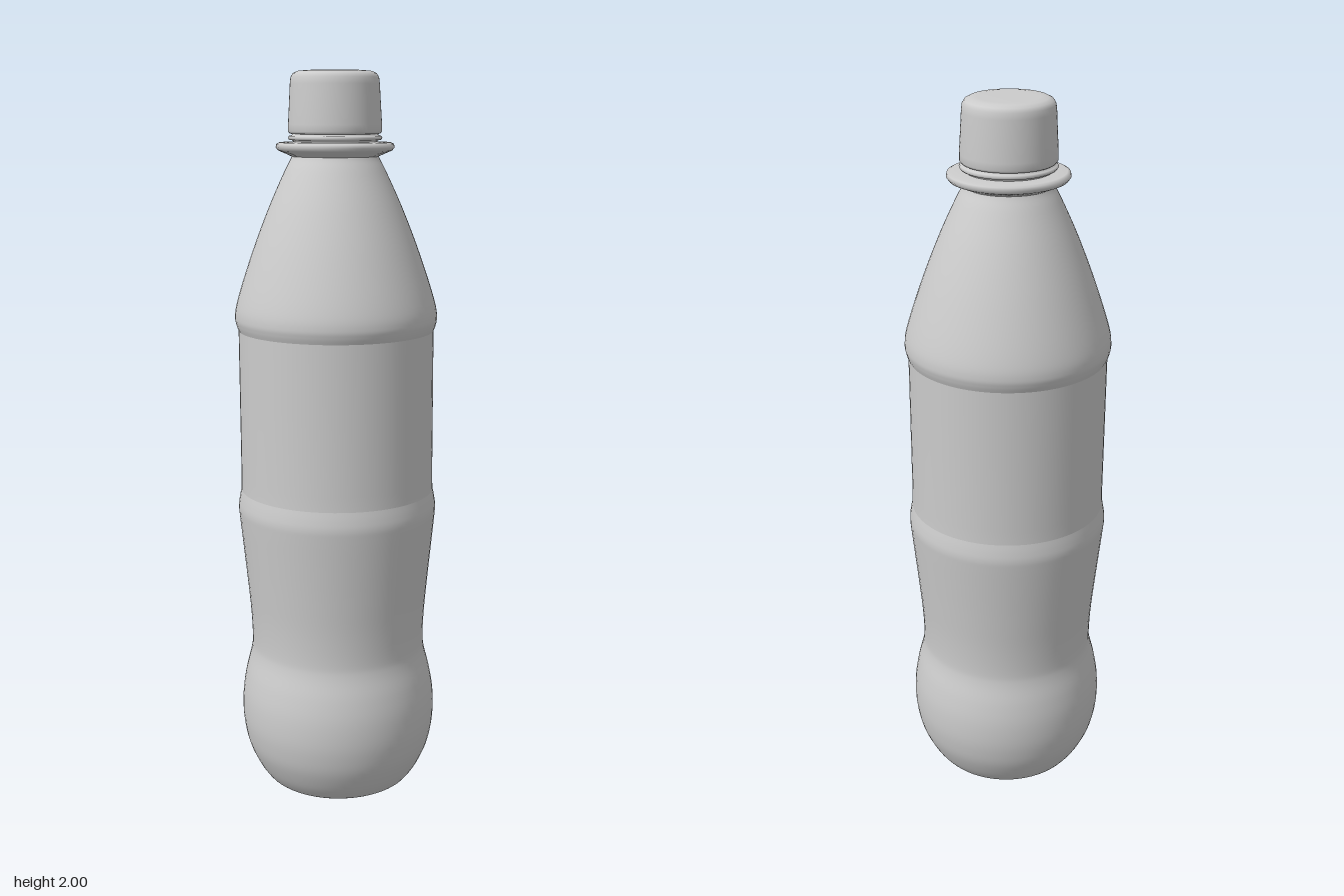
import * as THREE from 'three';

const SIDES = 64;
const material = new THREE.MeshStandardMaterial({ color: 0xcccccc, side: THREE.DoubleSide });

// Very slight lean of the whole bottle axis
const lean = new THREE.Matrix4().set(
  1, -0.009, 0, 0.004,
  0, 1, 0, 0,
  0, -0.016, 1, 0.013,
  0, 0, 0, 1
);

// Turned part from [radius, height] pairs, optionally smoothed through a spline
function turned(name, profile, smoothSteps = 0) {
  let points = profile.map(([r, y]) => new THREE.Vector2(r, y));
  if (smoothSteps) points = new THREE.SplineCurve(points).getPoints(smoothSteps);
  points.forEach((p) => { p.x = Math.max(p.x, 0); });
  const geometry = new THREE.LatheGeometry(points, SIDES);
  geometry.applyMatrix4(lean);
  const mesh = new THREE.Mesh(geometry, material);
  mesh.name = name;
  return mesh;
}

export function createModel() {
  const bottle = new THREE.Group();
  bottle.name = 'bottle';

  // Hollow underside with a small central nub
  bottle.add(turned('basePunt', [
    [0, 0.075], [0.014, 0.077], [0.022, 0.09], [0.05, 0.09], [0.09, 0.078],
    [0.13, 0.055], [0.165, 0.025], [0.185, 0.004], [0.198, 0.001],
  ], 40));

  // Rounded foot, pinched waist and the bead below the label
  bottle.add(turned('lowerBody', [
    [0.198, 0.001], [0.212, 0.012], [0.236, 0.047], [0.26, 0.1], [0.272, 0.15],
    [0.277, 0.2], [0.275, 0.26], [0.265, 0.32], [0.25, 0.38], [0.246, 0.42],
    [0.249, 0.5], [0.258, 0.6], [0.268, 0.7], [0.276, 0.78], [0.278, 0.81],
    [0.275, 0.835], [0.27, 0.86],
  ], 80));

  // Straight label section
  bottle.add(turned('labelSection', [
    [0.27, 0.86], [0.269, 0.9], [0.269, 1.1], [0.269, 1.27], [0.269, 1.308],
  ]));

  // Shoulder ridge and tapered neck
  bottle.add(turned('shoulder', [
    [0.269, 1.308], [0.275, 1.325], [0.278, 1.345], [0.273, 1.38], [0.252, 1.45],
    [0.217, 1.55], [0.177, 1.65], [0.138, 1.735], [0.12, 1.77], [0.115, 1.785],
  ], 60));

  // Carrying flange around the neck
  bottle.add(turned('neckFlange', [
    [0.115, 1.775], [0.135, 1.784], [0.154, 1.792], [0.16, 1.8], [0.158, 1.809],
    [0.15, 1.813], [0.113, 1.814],
  ]));

  // Short neck and tamper band under the cap
  bottle.add(turned('tamperBand', [
    [0.113, 1.812], [0.114, 1.818], [0.124, 1.82], [0.127, 1.825], [0.124, 1.83], [0.116, 1.832],
    [0.116, 1.84],
  ]));

  // Screw cap with rounded rims
  bottle.add(turned('cap', [
    [0.114, 1.835], [0.122, 1.836], [0.126, 1.842], [0.126, 1.86], [0.123, 1.91],
    [0.12, 1.965], [0.118, 1.982], [0.112, 1.992], [0.1, 1.998], [0.08, 2], [0, 2],
  ]));

  return bottle;
}
